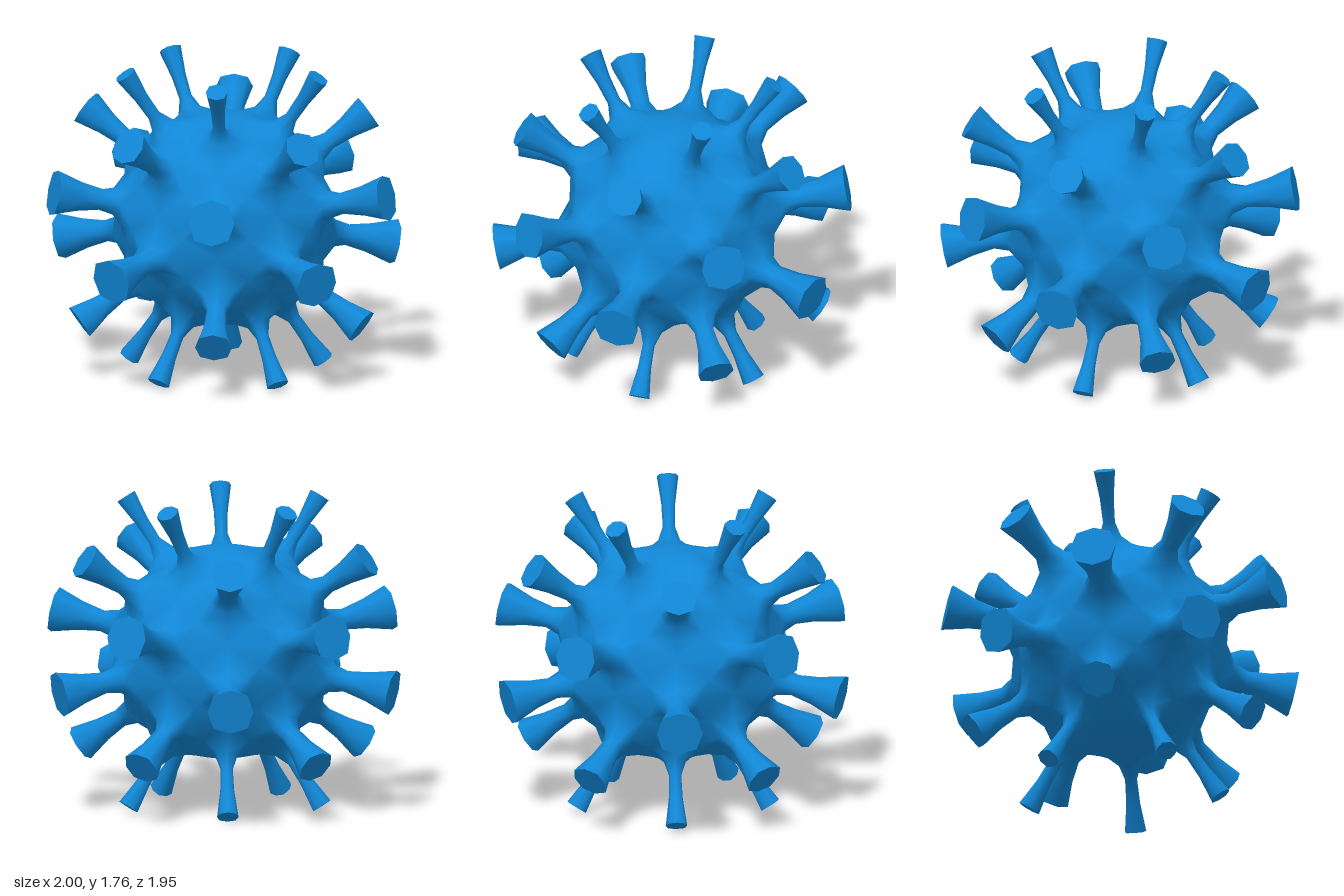
import * as THREE from 'three';

const SEGMENTS = 10, ROWS = 8, RADIUS = 0.613, CENTRE_Y = 0.885;
// Per latitude row, counted from the nearer pole: tip distance and half-width of the flared tip
const SPIKES = { 1: [1.02, 0.06], 2: [0.995, 0.102], 3: [0.995, 0.128] };

function onSphere(theta, phi) {
  return new THREE.Vector3(
    Math.sin(theta) * Math.cos(phi), Math.cos(theta), Math.sin(theta) * Math.sin(phi));
}

// Control cage: a coarse sphere whose alternate faces are pulled out into open-ended spikes
function buildCage() {
  const points = [], faces = [], tips = [];
  const add = (p) => points.push(p) - 1;
  const top = add(new THREE.Vector3(0, RADIUS, 0));
  const bottom = add(new THREE.Vector3(0, -RADIUS, 0));
  const grid = [];
  for (let i = 1; i < ROWS; i++) {
    grid[i] = [];
    for (let j = 0; j < SEGMENTS; j++) {
      const phi = (j - 0.5) * 2 * Math.PI / SEGMENTS;
      grid[i][j] = add(onSphere(i * Math.PI / ROWS, phi).multiplyScalar(RADIUS));
    }
  }
  for (let j = 0; j < SEGMENTS; j++) {
    const k = (j + 1) % SEGMENTS;
    faces.push([top, grid[1][k], grid[1][j]]);
    faces.push([bottom, grid[ROWS - 1][j], grid[ROWS - 1][k]]);
    for (let i = 1; i < ROWS - 1; i++) {
      const quad = [grid[i][j], grid[i][k], grid[i + 1][k], grid[i + 1][j]];
      if ((i + j) % 2 === 0) { faces.push(quad); continue; }
      const phi = j * 2 * Math.PI / SEGMENTS;
      const axis = onSphere((i + 0.5) * Math.PI / ROWS, phi);
      const east = new THREE.Vector3(-Math.sin(phi), 0, Math.cos(phi));
      const north = new THREE.Vector3().crossVectors(axis, east);
      if (north.y < 0) north.negate();
      const [reach, half] = SPIKES[Math.min(i, ROWS - 1 - i)];
      const ring = (dist, s) => [[-1, 1], [1, 1], [1, -1], [-1, -1]].map(([u, v]) =>
        add(axis.clone().multiplyScalar(dist).addScaledVector(east, u * s).addScaledVector(north, v * s)));
      const rings = [quad, ring(0.7, half * 0.3), ring(reach, half)];
      for (let r = 0; r < 2; r++) {
        for (let c = 0; c < 4; c++) {
          const d = (c + 1) % 4;
          faces.push([rings[r][c], rings[r][d], rings[r + 1][d], rings[r + 1][c]]);
        }
      }
      tips.push({ corners: rings[2], axis, reach });
    }
  }
  return { points, faces, tips };
}

const average = (list) =>
  list.reduce((sum, p) => sum.add(p), new THREE.Vector3()).divideScalar(list.length);

// One step of smooth subdivision; open borders stay as crisp curves
function subdivide({ points, faces }) {
  const edges = new Map();
  const key = (a, b) => (a < b ? a + '_' + b : b + '_' + a);
  const touching = points.map(() => ({ faces: [], edges: [] }));
  const centres = faces.map((f) => average(f.map((i) => points[i])));
  faces.forEach((f, n) => f.forEach((a, c) => {
    const b = f[(c + 1) % f.length];
    touching[a].faces.push(centres[n]);
    if (!edges.has(key(a, b))) {
      const edge = { mid: average([points[a], points[b]]), faces: [] };
      edges.set(key(a, b), edge);
      touching[a].edges.push(edge);
      touching[b].edges.push(edge);
    }
    edges.get(key(a, b)).faces.push(centres[n]);
  }));

  const out = points.map((p, i) => {
    const t = touching[i], n = t.edges.length;
    const border = t.edges.filter((e) => e.faces.length === 1);
    if (border.length) return average([p, p, border[0].mid, border[1].mid]);
    return average(t.faces)
      .addScaledVector(average(t.edges.map((e) => e.mid)), 2)
      .addScaledVector(p, n - 3)
      .divideScalar(n);
  });
  for (const e of edges.values()) {
    e.index = out.length;
    out.push(e.faces.length === 1 ? e.mid.clone() : average([e.mid, e.mid, ...e.faces]));
  }
  const edgeIndex = (a, b) => edges.get(key(a, b)).index;
  const quads = [];
  faces.forEach((f, n) => {
    const centre = out.push(centres[n]) - 1;
    f.forEach((a, c) => {
      const next = f[(c + 1) % f.length], prev = f[(c + f.length - 1) % f.length];
      quads.push([a, edgeIndex(a, next), centre, edgeIndex(prev, a)]);
    });
  });
  return { points: out, quads, edgeIndex };
}

function makeGeometry(points, index) {
  const geometry = new THREE.BufferGeometry().setFromPoints(points);
  geometry.setIndex(index);
  geometry.computeVertexNormals();
  return geometry;
}

export function createModel() {
  const group = new THREE.Group();
  const material = new THREE.MeshStandardMaterial({ color: 0x1187d6 });
  const cage = buildCage();
  const { points, quads, edgeIndex } = subdivide(cage);

  // Round body flowing smoothly into the spike stems
  const body = new THREE.Mesh(
    makeGeometry(points, quads.flatMap(([a, b, c, d]) => [a, b, c, a, c, d])), material);
  body.name = 'bodyWithSpikes';
  group.add(body);

  // Flat eight-sided ends closing each spike
  const caps = new THREE.Group();
  caps.name = 'spikeCaps';
  for (const { corners, axis, reach } of cage.tips) {
    const rim = corners.flatMap((a, c) => [a, edgeIndex(a, corners[(c + 1) % 4])]);
    const capPoints = [axis.clone().multiplyScalar(reach), ...rim.map((i) => points[i])];
    const index = rim.flatMap((_, k) => [0, k + 1, (k + 1) % 8 + 1]);
    const cap = new THREE.Mesh(makeGeometry(capPoints, index), material);
    cap.name = 'spikeCap';
    caps.add(cap);
  }
  group.add(caps);

  body.position.y = caps.position.y = CENTRE_Y;
  return group;
}
